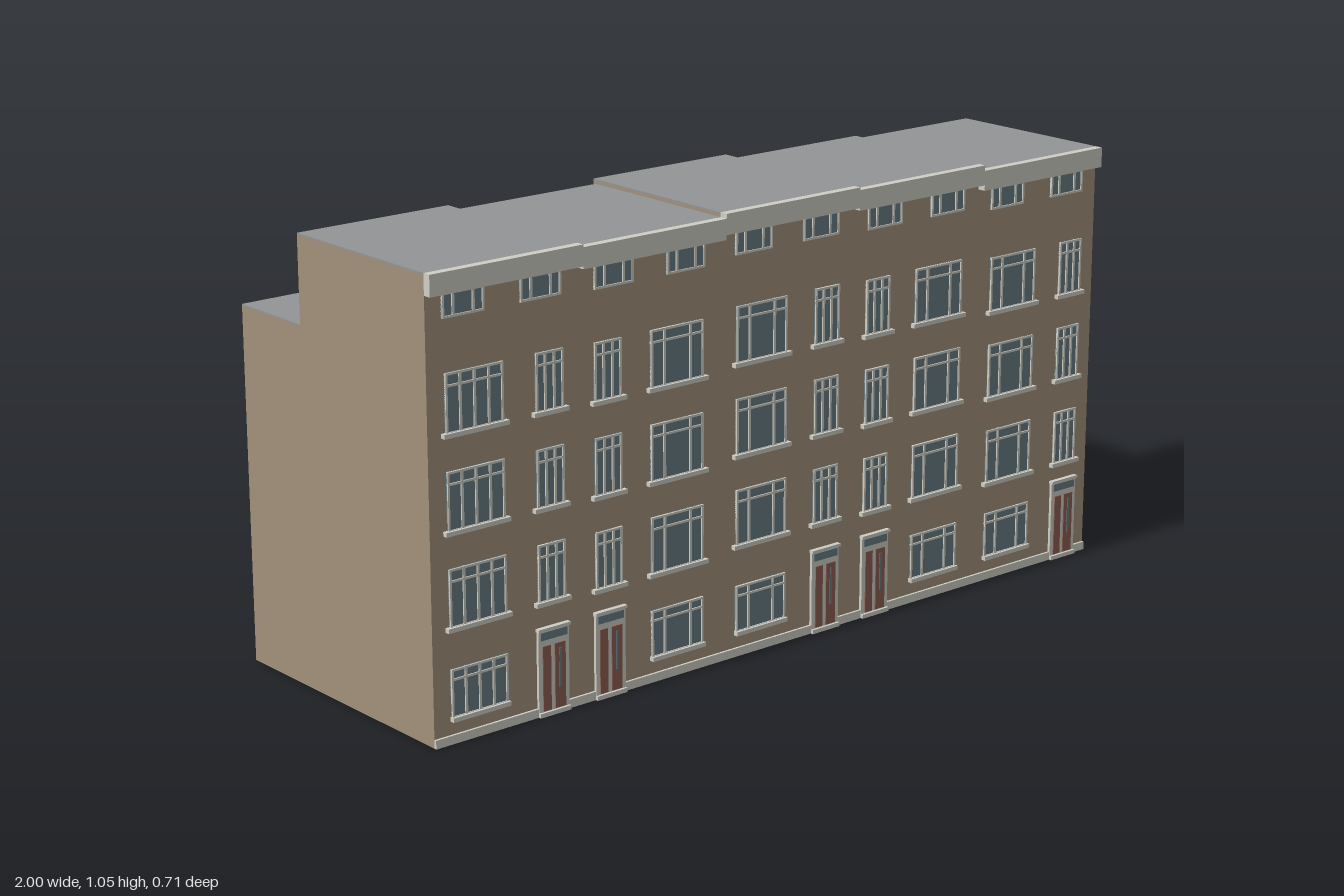
import * as THREE from 'three';

const mat = (name, color) => Object.assign(new THREE.MeshStandardMaterial({ color }), { name });

export function createModel() {
  const root = new THREE.Group();
  root.name = 'terraceRow';
  const brick = mat('brick', 0xa3917b);
  const trim = mat('paleTrim', 0xcfcec6);
  const glass = mat('glass', 0x687c84);
  const slate = mat('roofGrey', 0x939496);
  const doorRed = mat('doorRed', 0x8c5f52);

  const FRONT = 0.335, BACK = -0.352, W = 0.4;

  // Box given by its minimum and maximum corners
  function box(parent, name, m, x0, x1, y0, y1, z0, z1) {
    const mesh = new THREE.Mesh(new THREE.BoxGeometry(x1 - x0, y1 - y0, z1 - z0), m);
    mesh.position.set((x0 + x1) / 2, (y0 + y1) / 2, (z0 + z1) / 2);
    mesh.name = name;
    parent.add(mesh);
    return mesh;
  }

  function group(parent, name, x, y, z) {
    const g = new THREE.Group();
    g.name = name;
    g.position.set(x, y, z);
    parent.add(g);
    return g;
  }

  // Window centred on x with its bottom at y; bars are offsets of the mullions
  function windowUnit(parent, name, x, y, z, w, h, { bars = [], transom = 0, sill = 0, t = 0.005 } = {}) {
    const g = group(parent, name, x, y, z);
    const a = w / 2, d = 0.006;
    box(g, 'pane', glass, -a, a, 0, h, 0, 0.003);
    box(g, 'frameLeft', trim, -a, -a + t, 0, h, 0, d);
    box(g, 'frameRight', trim, a - t, a, 0, h, 0, d);
    box(g, 'frameTop', trim, -a, a, h - t, h, 0, d);
    box(g, 'frameBottom', trim, -a, a, 0, t, 0, d);
    for (const b of bars) box(g, 'mullion', trim, b - 0.003, b + 0.003, 0, h, 0, d);
    if (transom) box(g, 'transom', trim, -a, a, h - transom - 0.0025, h - transom + 0.0025, 0, d);
    if (sill) box(g, 'sill', trim, -a - sill, a + sill, -0.006, 0.004, 0, 0.012);
    return g;
  }

  // Entrance: pale surround, glazed fanlight, two red leaves and a step
  function entrance(parent, x) {
    const g = group(parent, 'entrance', x, 0, FRONT);
    box(g, 'surround', trim, -0.042, 0.042, 0, 0.2, 0, 0.007);
    box(g, 'fanlight', glass, -0.036, 0.036, 0.176, 0.194, 0, 0.009);
    box(g, 'sideLeaf', doorRed, -0.031, -0.009, 0.012, 0.162, 0, 0.009);
    box(g, 'doorLeaf', doorRed, 0.002, 0.031, 0.012, 0.162, 0, 0.009);
    box(g, 'doorGlass', glass, 0.013, 0.019, 0.06, 0.15, 0, 0.0105);
    box(g, 'lintel', trim, -0.044, 0.044, 0.197, 0.204, 0, 0.012);
    box(g, 'step', trim, -0.042, 0.042, 0, 0.01, 0, 0.013);
  }

  // One entry per house, from -x to +x
  const houses = [
    { top: 1.041, low: 0.838, step: -0.124, flip: false },
    { top: 1.035, low: 0.836, step: -0.1, flip: true },
    { top: 1.046, low: 0.848, step: -0.108, flip: false },
    { top: 1.04, low: 0.84, step: -0.086, flip: true },
    { top: 1.027, low: 0.822, step: -0.106, flip: false },
  ];

  houses.forEach(({ top, low, step, flip }, i) => {
    const x0 = -1 + i * W, x1 = x0 + W;
    const house = group(root, 'house' + (i + 1), 0, 0, 0);

    // Stepped body, extruded across the house
    const s = new THREE.Shape();
    s.moveTo(-FRONT, 0);
    s.lineTo(-BACK, 0);
    s.lineTo(-BACK, low - 0.004);
    s.lineTo(-step, low - 0.004);
    s.lineTo(-step, top - 0.004);
    s.lineTo(-FRONT, top - 0.004);
    s.closePath();
    const geo = new THREE.ExtrudeGeometry(s, { depth: W, bevelEnabled: false });
    geo.rotateY(Math.PI / 2);
    geo.translate(x0, 0, 0);
    const body = new THREE.Mesh(geo, brick);
    body.name = 'walls';
    house.add(body);

    // Roofs, front cornice and plinth
    box(house, 'mainRoof', slate, x0, x1, top - 0.004, top, step, FRONT);
    box(house, 'rearRoof', slate, x0, x1, low - 0.004, low, BACK, step);
    box(house, 'cornice', trim, x0, x1, top - 0.048, top, FRONT, 0.355);
    box(house, 'plinth', trim, x0, x1, 0, 0.02, FRONT, 0.341);

    // Street side
    const drop = top - 1.041;
    const wideX = x0 + (flip ? 0.272 : 0.12);
    const slimX = x0 + (flip ? 0.077 : 0.318);
    const wideBars = i === 0 ? [0, -0.037, 0.037] : [-0.037, 0.037];
    windowUnit(house, 'groundWindow', wideX, 0.057, FRONT, 0.15, 0.112,
      { bars: wideBars, transom: 0.024, sill: 0.002 });
    entrance(house, slimX);
    for (const y of [0.26, 0.474, 0.688]) {
      windowUnit(house, 'wideWindow', wideX, y + drop, FRONT, 0.15, 0.133,
        { bars: wideBars, transom: 0.028, sill: 0.01 });
      windowUnit(house, 'slimWindow', slimX, y + drop, FRONT, 0.074, 0.133,
        { bars: [-0.012, 0.012], transom: 0.028, sill: 0.01 });
    }
    for (const dx of [0.095, 0.297])
      windowUnit(house, 'atticWindow', x0 + dx, 0.938 + drop, FRONT, 0.108, 0.055,
        { bars: [-0.026, 0.026] });

    // Rear side, three windows on each of four floors
    const rearDrop = low - 0.838;
    [0.055, 0.268, 0.48, 0.692].forEach((y, floor) => {
      for (const dx of [0.067, 0.203, 0.343])
        windowUnit(house, 'rearWindow', x0 + dx, y + (floor ? rearDrop : 0), BACK, 0.074, 0.128, { t: 0.006 })
          .rotation.y = Math.PI;
    });
  });

  return root;
}
